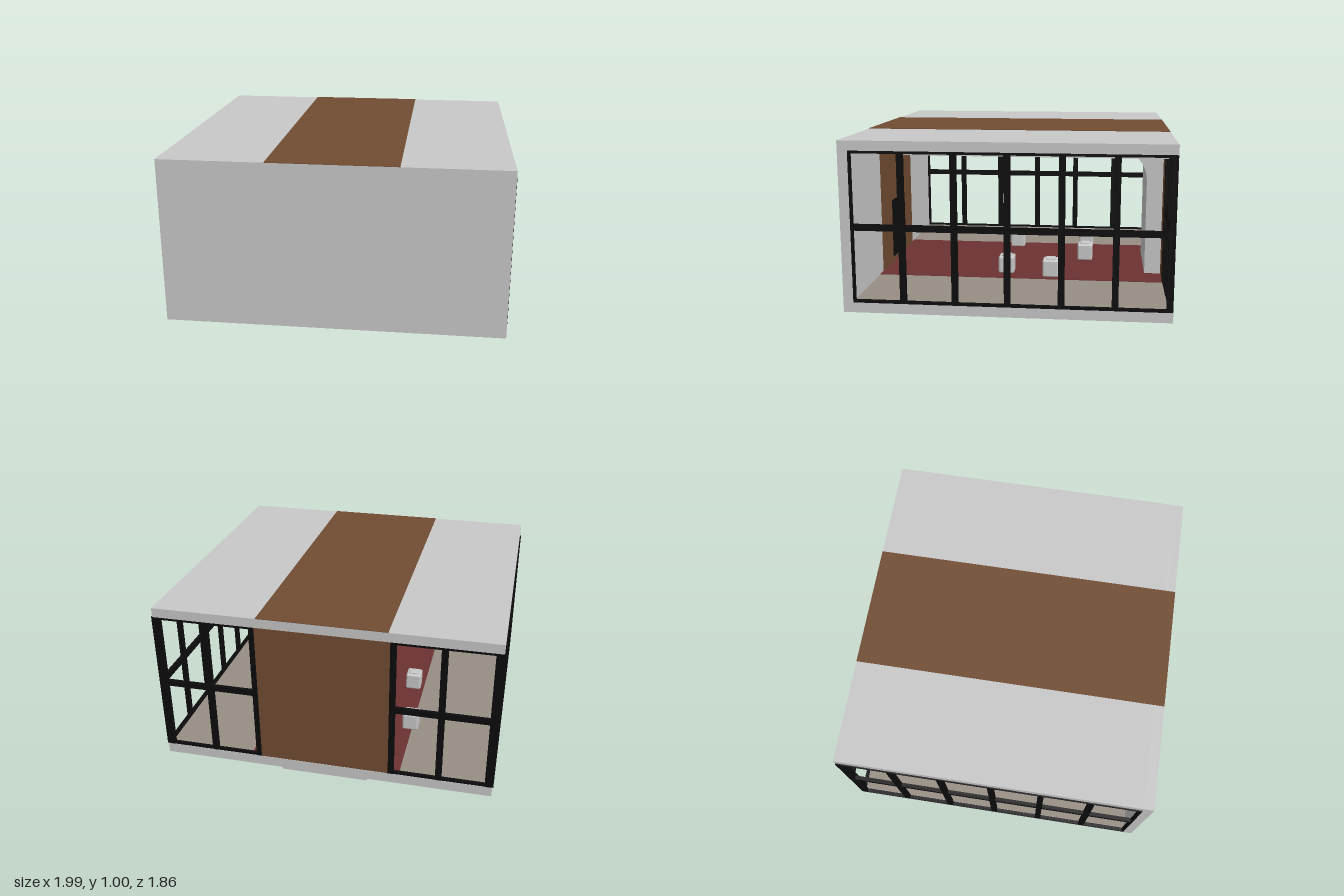
import * as THREE from 'three';
import { RoundedBoxGeometry } from 'three/addons/geometries/RoundedBoxGeometry.js';

const mat = (name, color) => {
  const m = new THREE.MeshStandardMaterial({ color });
  m.name = name;
  return m;
};

export function createModel() {
  const grey = mat('light grey panel', 0xc8c8c8);
  const brown = mat('brown wood', 0x714c32);
  const black = mat('black frame', 0x0c0c0c);
  const red = mat('dark red carpet', 0x6c3232);
  const beige = mat('beige floor', 0x978d85);

  const model = new THREE.Group();
  model.name = 'pavilion';
  const add = (name, geometry, material, parent = model) => {
    const mesh = new THREE.Mesh(geometry, material);
    mesh.name = name;
    parent.add(mesh);
    return mesh;
  };
  // Box given by its lower and upper corners
  const box = (name, material, [x0, y0, z0], [x1, y1, z1], parent) => {
    const mesh = add(name, new THREE.BoxGeometry(x1 - x0, y1 - y0, z1 - z0), material, parent);
    mesh.position.set((x0 + x1) / 2, (y0 + y1) / 2, (z0 + z1) / 2);
    return mesh;
  };
  const group = (name) => {
    const g = new THREE.Group();
    g.name = name;
    model.add(g);
    return g;
  };

  // Shell: base, roof and solid front wall
  box('base', grey, [-0.99, 0.015, -0.925], [0.99, 0.076, 0.87]);
  box('roof', grey, [-0.99, 0.944, -0.925], [0.99, 1.0, 0.87]);
  box('frontWall', grey, [-0.99, 0.015, 0.87], [0.99, 1.0, 0.93]);

  // Floor finishes
  box('floor', beige, [-0.97, 0.076, -0.9], [0.97, 0.08, 0.87]);
  box('carpet', red, [-0.45, 0.08, -0.9], [0.45, 0.083, 0.868]);

  // Brown band wrapping over roof, ceiling, back and inner front wall
  box('roofBand', brown, [-0.373, 1.0, -0.925], [0.373, 1.003, 0.93]);
  box('ceilingBand', brown, [-0.373, 0.938, -0.905], [0.373, 0.944, 0.87]);
  box('backPanel', brown, [-0.385, 0.078, -0.926], [0.385, 0.944, -0.9]);
  box('innerFrontPanel', brown, [-0.373, 0.08, 0.862], [0.373, 0.944, 0.87]);
  box('screen', black, [-0.15, 0.12, 0.854], [0.15, 0.5, 0.862]);

  // Side window frames
  const heights = [[0.076, 0.09], [0.495, 0.53], [0.93, 0.944]];
  for (const s of [-1, 1]) {
    const frame = group(s > 0 ? 'leftFrame' : 'rightFrame');
    const x0 = s * 0.985 - 0.012, x1 = s * 0.985 + 0.012;
    for (const z of [0.58, 0.285, -0.01, -0.31, -0.607, -0.905])
      box('post', black, [x0, 0.076, z - 0.018], [x1, 0.944, z + 0.018], frame);
    box('wallPost', black, [x0, 0.076, 0.857], [x1, 0.944, 0.87], frame);
    for (const [a, b] of heights)
      box('rail', black, [x0, a, -0.92], [x1, b, 0.87], frame);

    // Back window frame beside the brown panel
    const back = group(s > 0 ? 'backLeftFrame' : 'backRightFrame');
    for (const x of [0.4, 0.68, 0.965])
      box('post', black, [s * x - 0.018, 0.076, -0.925], [s * x + 0.018, 0.944, -0.9], back);
    for (const [a, b] of heights) {
      const rail = box('rail', black, [0.385, a, -0.923], [0.985, b, -0.902], back);
      rail.position.x *= s;
    }
  }

  // Curved back column sweeping up into a tapering canopy
  const profile = new THREE.Shape();
  profile.moveTo(0.922, 0);
  profile.lineTo(0.922, 0.94);
  profile.lineTo(-0.25, 0.94);
  profile.lineTo(-0.2, 0.915);
  profile.lineTo(0.1, 0.91);
  profile.bezierCurveTo(0.25, 0.885, 0.35, 0.875, 0.45, 0.875);
  profile.lineTo(0.6, 0.875);
  profile.bezierCurveTo(0.72, 0.875, 0.8, 0.79, 0.8, 0.67);
  profile.lineTo(0.8, 0);
  const column = new THREE.ExtrudeGeometry(profile, { depth: 0.52, bevelEnabled: false, curveSegments: 16 });
  column.rotateY(Math.PI / 2).translate(-0.26, 0, 0);
  add('curvedCanopy', column, grey);

  // Ceiling slats: nested strips that round the front corners
  for (const s of [-1, 1]) {
    const slats = group(s > 0 ? 'leftCeilingSlats' : 'rightCeilingSlats');
    for (let i = 0; i < 5; i++) {
      const w = 0.5 + i * 0.1, f = 0.4 + i * 0.095, r = 0.12 + i * 0.05, t = 0.035;
      const strip = new THREE.Shape();
      strip.moveTo(s * w, -0.88);
      strip.lineTo(s * w, f - r);
      strip.quadraticCurveTo(s * w, f, s * (w - r), f);
      strip.lineTo(s * 0.373, f);
      strip.lineTo(s * 0.373, f - t);
      strip.lineTo(s * (w - r), f - t);
      strip.quadraticCurveTo(s * (w - t), f - t, s * (w - t), f - r);
      strip.lineTo(s * (w - t), -0.88);
      const geo = new THREE.ExtrudeGeometry(strip, { depth: 0.034, bevelEnabled: false, curveSegments: 10 });
      geo.rotateX(Math.PI / 2).translate(0, 0.944, 0);
      add('slat', geo, grey, slats);
    }
  }

  // Small seats standing on the carpet
  for (const [x, z] of [[0.3, 0.075], [-0.38, 0.075], [0.36, -0.21], [-0.06, -0.415], [-0.44, -0.415]]) {
    const stool = group('stool');
    stool.position.set(x, 0.08, z);
    add('body', new RoundedBoxGeometry(0.1, 0.11, 0.1, 2, 0.012), grey, stool).position.y = 0.055;
    add('cap', new RoundedBoxGeometry(0.06, 0.02, 0.06, 2, 0.006), grey, stool).position.y = 0.11;
  }
  return model;
}
